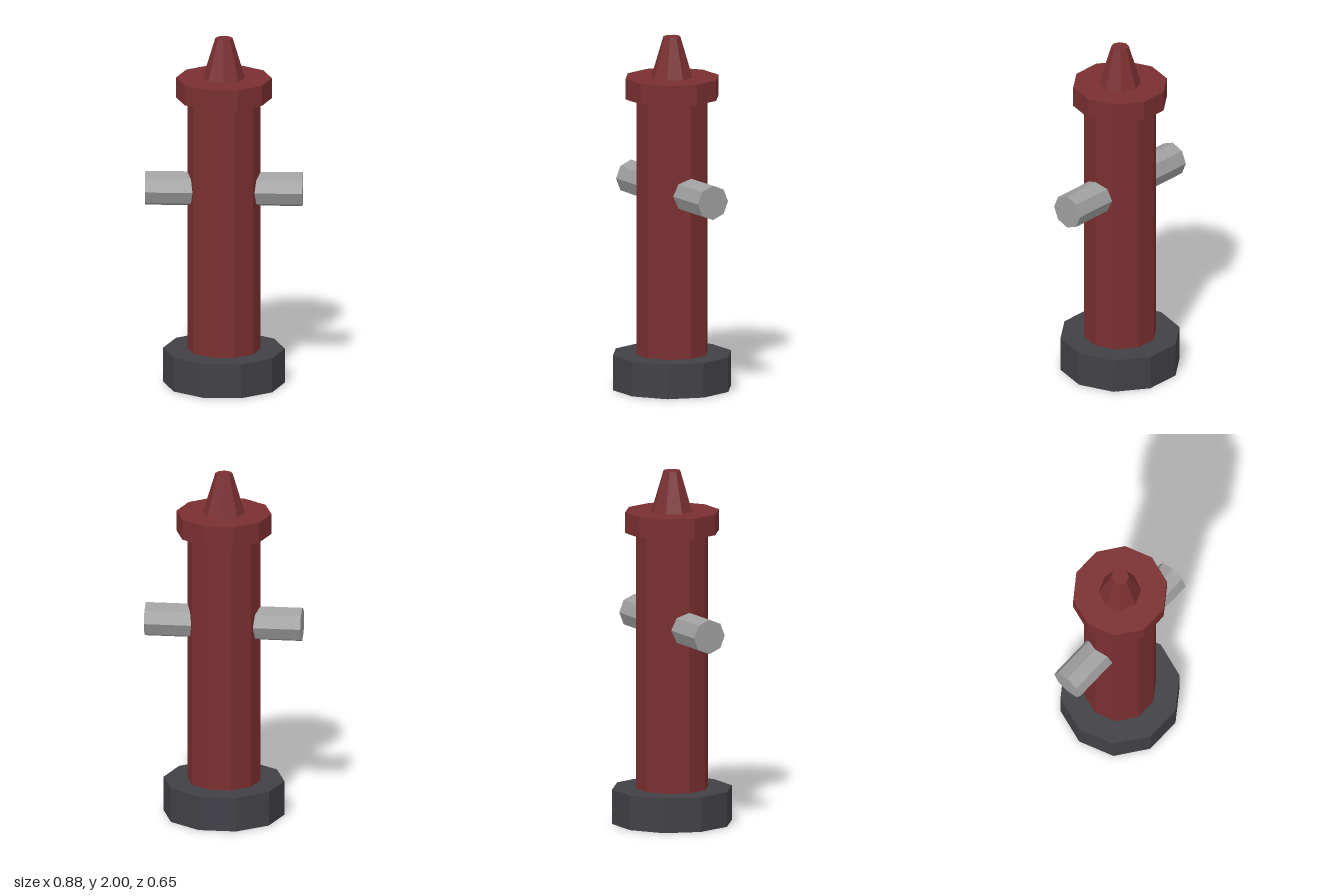
import * as THREE from 'three';

export function createModel() {
  const model = new THREE.Group();
  model.name = 'hydrant';

  const material = (name, color) => {
    const m = new THREE.MeshStandardMaterial({ color, flatShading: true });
    m.name = name;
    return m;
  };
  const red = material('dark red', 0x7a2f30);
  const charcoal = material('charcoal', 0x414046);
  const grey = material('metal grey', 0x9f9f9f);

  // Upright faceted drum from y0 to y1, with one corner on the x axis
  const drum = (name, rTop, rBottom, y0, y1, sides, mat) => {
    const geo = new THREE.CylinderGeometry(rTop, rBottom, y1 - y0, sides);
    geo.rotateY(Math.PI / 2);
    geo.translate(0, (y0 + y1) / 2, 0);
    const mesh = new THREE.Mesh(geo, mat);
    mesh.name = name;
    model.add(mesh);
  };

  drum('base', 0.34, 0.34, 0, 0.197, 10, charcoal);
  drum('body', 0.205, 0.205, 0.197, 1.64, 10, red);
  // The lid floats slightly above the body
  drum('lid', 0.267, 0.267, 1.653, 1.77, 10, red);
  drum('capSpike', 0.049, 0.118, 1.77, 2, 8, red);

  // Two side nozzles, each starting inside the body
  for (const side of [1, -1]) {
    const geo = new THREE.CylinderGeometry(0.098, 0.098, 0.34, 8);
    geo.rotateZ(-side * Math.PI / 2);
    geo.translate(side * 0.27, 1.126, 0);
    const nozzle = new THREE.Mesh(geo, grey);
    nozzle.name = side > 0 ? 'leftNozzle' : 'rightNozzle';
    model.add(nozzle);
  }

  return model;
}
